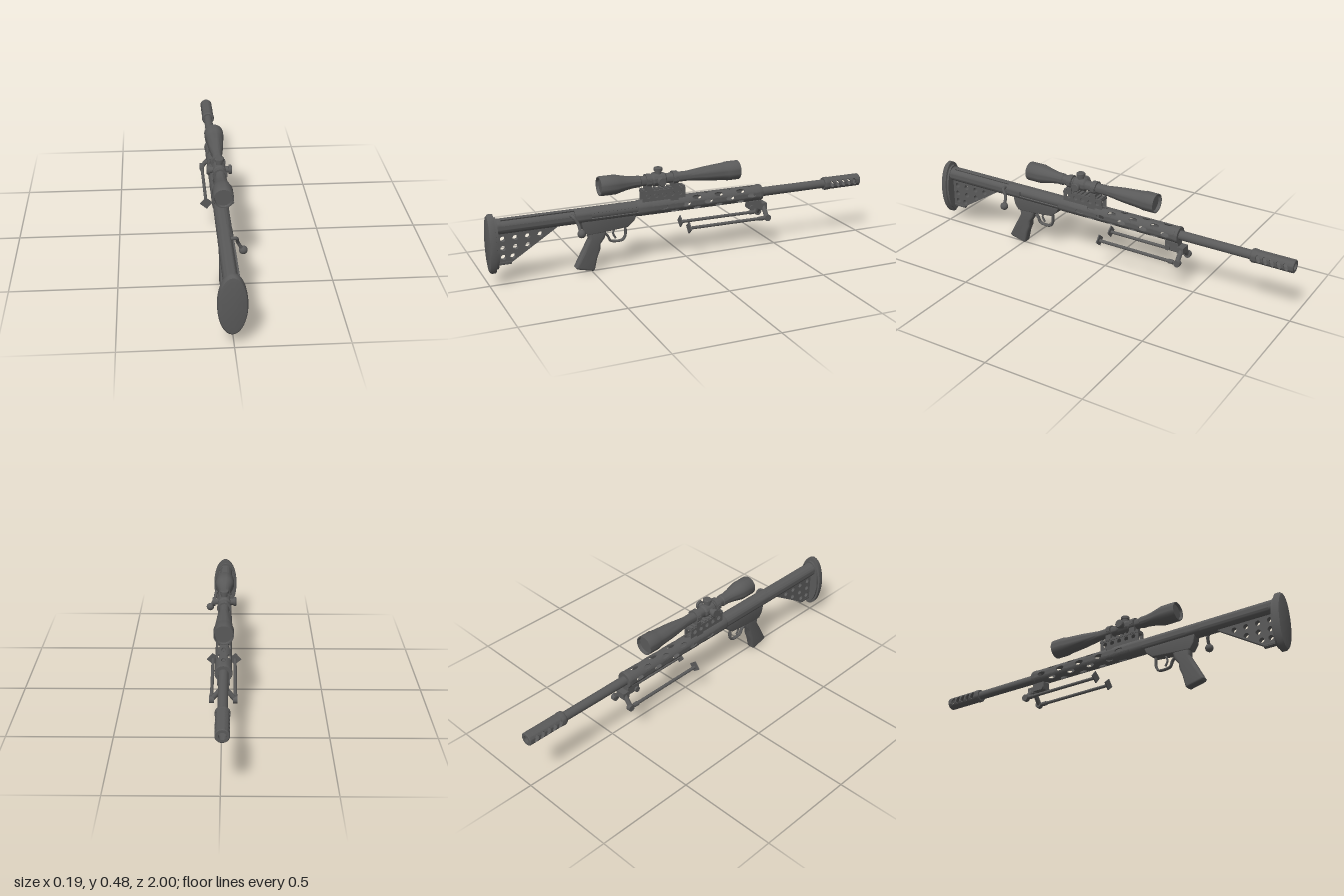
import * as THREE from 'three';
import { toCreasedNormals } from 'three/addons/utils/BufferGeometryUtils.js';

const solid = new THREE.MeshStandardMaterial({ color: 0x5a5a5a });
const open = new THREE.MeshStandardMaterial({ color: 0x5a5a5a, side: THREE.DoubleSide });
const AXIS = 0.286, SCOPE = 0.42;

export function createModel() {
  const model = new THREE.Group();

  const add = (name, geo, mat = solid, parent = model) => {
    const mesh = new THREE.Mesh(geo, mat);
    mesh.name = name;
    parent.add(mesh);
    return mesh;
  };
  // Turned part along z from [radius, z] pairs
  const turned = (name, pts, y, seg = 28) => {
    const g = new THREE.LatheGeometry(pts.map(p => new THREE.Vector2(...p)), seg).rotateX(Math.PI / 2);
    const m = add(name, toCreasedNormals(g, 0.5), open);
    m.position.y = y;
    return m;
  };
  const rod = (name, a, b, r, r2 = r, seg = 20) => {
    const A = new THREE.Vector3(...a), B = new THREE.Vector3(...b), d = B.clone().sub(A);
    const m = add(name, new THREE.CylinderGeometry(r2, r, d.length(), seg));
    m.position.copy(A).add(B).multiplyScalar(0.5);
    m.quaternion.setFromUnitVectors(new THREE.Vector3(0, 1, 0), d.normalize());
    return m;
  };
  const box = (name, w, h, d, x, y, z) => {
    const m = add(name, new THREE.BoxGeometry(w, h, d));
    m.position.set(x, y, z);
    return m;
  };
  // Side profile in (z, y), extruded across x; holes are [z, y, r]
  const side = (name, shape, width, x = 0, holes = [], bevel = 0) => {
    for (const [z, y, r] of holes) shape.holes.push(new THREE.Path().absarc(z, y, r, 0, Math.PI * 2, true));
    const g = new THREE.ExtrudeGeometry(shape, {
      depth: width - 2 * bevel, curveSegments: 10, bevelEnabled: bevel > 0,
      bevelSize: bevel, bevelThickness: bevel, bevelOffset: -bevel, bevelSegments: 3 });
    g.translate(0, 0, bevel - width / 2).rotateY(-Math.PI / 2);
    add(name, toCreasedNormals(g, 0.6)).position.x = x;
  };
  const poly = pts => new THREE.Shape(pts.map(p => new THREE.Vector2(...p)));
  // Tube along z with part of its wall cut away between angles g0 and g1
  const slotted = (name, r, ri, z0, z1, g0, g1) => {
    const s = new THREE.Shape();
    s.absarc(0, 0, r, g1, g0 + Math.PI * 2, false);
    s.absarc(0, 0, ri, g0 + Math.PI * 2, g1, true);
    const g = new THREE.ExtrudeGeometry(s, { depth: z1 - z0, bevelEnabled: false, curveSegments: 28 });
    add(name, toCreasedNormals(g, 0.5)).position.set(0, AXIS, z0);
  };
  // Curved wall panel with an oval opening; hole = [half angle, half length, slant]
  const panel = (name, r, ri, a, ha, zc, hz, hole) => {
    const n = 40, pos = [], idx = [];
    const [pa, pz, slant] = hole || [0, 0, 0];
    for (let i = 0; i <= n; i++) {
      const t = (i / n) * Math.PI * 2 + Math.PI / 4, c = Math.cos(t), s = Math.sin(t);
      const k = 1 / Math.max(Math.abs(c), Math.abs(s));
      const edge = [c * k * ha, s * k * hz], mid = [c * pa, s * pz + c * slant];
      const ring = [0, 0.33, 0.67, 1].map(f => [edge[0] + (mid[0] - edge[0]) * f, edge[1] + (mid[1] - edge[1]) * f]);
      const loop = [...ring.map(p => [r, ...p]), ...ring.reverse().map(p => [ri, ...p])];
      for (const [q, da, dz] of loop) pos.push(q * Math.cos(a + da), q * Math.sin(a + da), zc + dz);
    }
    for (let i = 0; i < n; i++) for (let j = 0; j < 7; j++) {
      const p = i * 8 + j, q = p + 8;
      idx.push(p, q, p + 1, q, q + 1, p + 1);
    }
    const g = new THREE.BufferGeometry();
    g.setAttribute('position', new THREE.Float32BufferAttribute(pos, 3));
    g.setIndex(idx);
    add(name, toCreasedNormals(g, 0.6), open).position.y = AXIS;
  };

  // Butt pad and stock
  turned('buttPad', [[0, 0.955], [0.057, 0.955], [0.057, 0.966], [0.065, 0.968], [0.065, 0.988], [0.061, 0.997], [0.052, 1], [0, 1]], 0.205, 40).scale.y = 2.23;
  const plateHoles = [];
  [[0.225, 4], [0.18, 3], [0.135, 2]].forEach(([y, n], row) => {
    for (let i = 0; i < n; i++) plateHoles.push([0.928 - i * (row === 2 ? 0.045 : 0.06), y, 0.013]);
  });
  side('stockPlate', poly([[0.96, 0.27], [0.64, 0.27], [0.67, 0.245], [0.9, 0.1], [0.96, 0.1]]), 0.024, 0, plateHoles);
  rod('stockPlateFoot', [0, 0.108, 0.89], [0, 0.108, 0.96], 0.013);

  // Receiver with bolt channel and side port
  turned('stockCollar', [[0.037, 0.935], [0.037, 0.96]], AXIS);
  slotted('stockTube', 0.037, 0.03, 0.58, 0.936, 0.25, 1.15);
  turned('receiverRear', [[0.025, 0.58], [0.037, 0.58], [0.037, 0.5], [0.025, 0.5]].reverse(), AXIS);
  slotted('receiver', 0.037, 0.031, 0.26, 0.501, -0.35, 0.4);
  turned('receiverFront', [[0, 0.02], [0.033, 0.02], [0.033, 0.19], [0.04, 0.19], [0.04, 0.25], [0.037, 0.262], [0.028, 0.262]], AXIS);
  rod('bolt', [0, AXIS, 0.2], [0, AXIS, 0.95], 0.027, 0.027, 24);
  const handle = new THREE.CatmullRomCurve3([[0.02, 0.3, 0.6], [0.046, 0.298, 0.595], [0.055, 0.265, 0.575], [0.078, 0.225, 0.57]].map(p => new THREE.Vector3(...p)));
  add('boltHandle', new THREE.TubeGeometry(handle, 16, 0.008, 10));
  add('boltKnob', new THREE.SphereGeometry(0.02, 20, 14)).position.set(0.08, 0.222, 0.567);

  // Ventilated handguard: alternate columns are staggered
  for (let c = 0; c < 8; c++) {
    const a = c * Math.PI / 4, ha = Math.PI / 8, odd = c % 2;
    for (let i = 0; i < 5 - odd; i++)
      panel('handguardPanel', 0.04, 0.034, a, ha, 0.13 - 0.06 * odd - i * 0.12, 0.06, [0.29, 0.023, 0]);
    if (odd) for (const z of [0.16, -0.38]) panel('handguardPanel', 0.04, 0.034, a, ha, z, 0.03);
  }
  turned('handguardRing', [[0.02, -0.416], [0.04, -0.416], [0.042, -0.41], [0.042, -0.4], [0.034, -0.395], [0, -0.395]], AXIS);

  // Barrel and muzzle brake with slanted side ports
  rod('barrel', [0, AXIS, -0.39], [0, AXIS, -0.8], 0.0235, 0.0225, 28);
  for (let c = 0; c < 4; c++) for (let i = 0; i < 5; i++)
    panel('muzzleBrakePanel', 0.032, 0.024, c * Math.PI / 2, Math.PI / 4, -0.828 - i * 0.034, 0.017,
      c % 2 ? null : [0.6, 0.011, c ? -0.005 : 0.005]);
  turned('muzzleBrakeCap', [[0.017, -0.975], [0.017, -1], [0.029, -1], [0.032, -0.997], [0.032, -0.978]], AXIS);
  turned('muzzleBrakeCollar', [[0.033, -0.815], [0.034, -0.81], [0.034, -0.795], [0.03, -0.787], [0.02, -0.787]], AXIS);

  // Grip, trigger housing, guard and trigger
  side('triggerHousing', poly([[0.55, 0.268], [0.265, 0.268], [0.28, 0.232], [0.315, 0.205], [0.41, 0.196], [0.52, 0.19], [0.54, 0.22]]), 0.05, 0, [], 0.004);
  side('grip', poly([[0.515, 0.205], [0.42, 0.205], [0.43, 0.165], [0.452, 0.135], [0.455, 0.105], [0.47, 0.07], [0.485, 0.008], [0.495, 0.001], [0.575, 0.02], [0.582, 0.03], [0.545, 0.1], [0.51, 0.165]]), 0.046, 0, [], 0.012);
  const guard = new THREE.CatmullRomCurve3([[0.32, 0.21], [0.32, 0.16], [0.333, 0.137], [0.37, 0.133], [0.398, 0.14], [0.41, 0.165], [0.425, 0.18]].map(([z, y]) => new THREE.Vector3(0, y, z)));
  add('triggerGuard', new THREE.TubeGeometry(guard, 28, 0.006, 8)).scale.x = 1.7;
  const pull = new THREE.CatmullRomCurve3([[0.375, 0.2], [0.383, 0.175], [0.37, 0.148]].map(([z, y]) => new THREE.Vector3(0, y, z)));
  add('trigger', new THREE.TubeGeometry(pull, 12, 0.005, 8));

  // Scope mount: open channel with a toothed rail
  for (const s of [-1, 1])
    side('mountWall', poly([[0.01, 0.308], [0.235, 0.308], [0.235, 0.365], [0.01, 0.365]]), 0.006, s * 0.02,
      [0, 1, 2, 3, 4].map(i => [0.038 + i * 0.042, 0.345, 0.012]));
  box('mountRail', 0.052, 0.011, 0.225, 0, 0.366, 0.1225);
  for (let i = 0; i < 10; i++) box('railTooth', 0.046, 0.009, 0.012, 0, 0.375, 0.018 + i * 0.0232);
  for (const z of [0.2, 0.06]) {
    turned('scopeRing', [[0.024, z - 0.013], [0.033, z - 0.013], [0.033, z + 0.013], [0.024, z + 0.013]], SCOPE);
    box('ringBase', 0.056, 0.03, 0.028, 0, 0.38, z);
    for (const s of [-1, 1]) box('ringClamp', 0.01, 0.018, 0.022, s * 0.03, SCOPE, z);
  }

  // Scope
  turned('scope', [[0, -0.27], [0.041, -0.27], [0.043, -0.285], [0.048, -0.285], [0.048, -0.22], [0.045, -0.212], [0.043, -0.19],
    [0.036, -0.1], [0.028, -0.035], [0.025, -0.01], [0.025, 0.24], [0.029, 0.245], [0.029, 0.275], [0.034, 0.31], [0.043, 0.35],
    [0.048, 0.37], [0.048, 0.445], [0.046, 0.45], [0.041, 0.45], [0.039, 0.437], [0, 0.437]], SCOPE, 32);
  turned('turretHousing', [[0.025, 0.108], [0.032, 0.116], [0.032, 0.172], [0.025, 0.18]], SCOPE);
  for (const [x, y] of [[1, 0], [-1, 0], [0, 1]]) {
    const at = d => [x * d, SCOPE + y * d, 0.145];
    rod('turretNeck', at(0.02), at(0.047), 0.016);
    rod('turretCap', at(0.045), at(0.057), 0.022);
    rod('turretCapEdge', at(0.057), at(0.06), 0.022, 0.019);
  }

  // Folded bipod
  box('bipodMount', 0.044, 0.04, 0.07, 0, 0.228, -0.38);
  rod('bipodHinge', [-0.03, 0.216, -0.36], [0.03, 0.216, -0.36], 0.014);
  box('bipodHead', 0.05, 0.034, 0.036, 0, 0.214, -0.428);
  for (const s of [-1, 1]) {
    rod('bipodArm', [s * 0.015, 0.212, -0.43], [s * 0.055, 0.163, -0.43], 0.012);
    rod('bipodKnuckle', [s * 0.044, 0.163, -0.432], [s * 0.066, 0.163, -0.432], 0.017);
    rod('bipodLeg', [s * 0.055, 0.163, -0.43], [s * 0.055, 0.165, 0.004], 0.008);
    rod('bipodLegCollar', [s * 0.055, 0.163, -0.41], [s * 0.055, 0.163, -0.385], 0.011);
    box('bipodFoot', 0.044, 0.044, 0.006, s * 0.055, 0.168, 0.004).rotation.z = s * 0.7;
  }

  model.position.x = -0.008;
  const root = new THREE.Group();
  root.name = 'rifle';
  root.add(model);
  return root;
}
